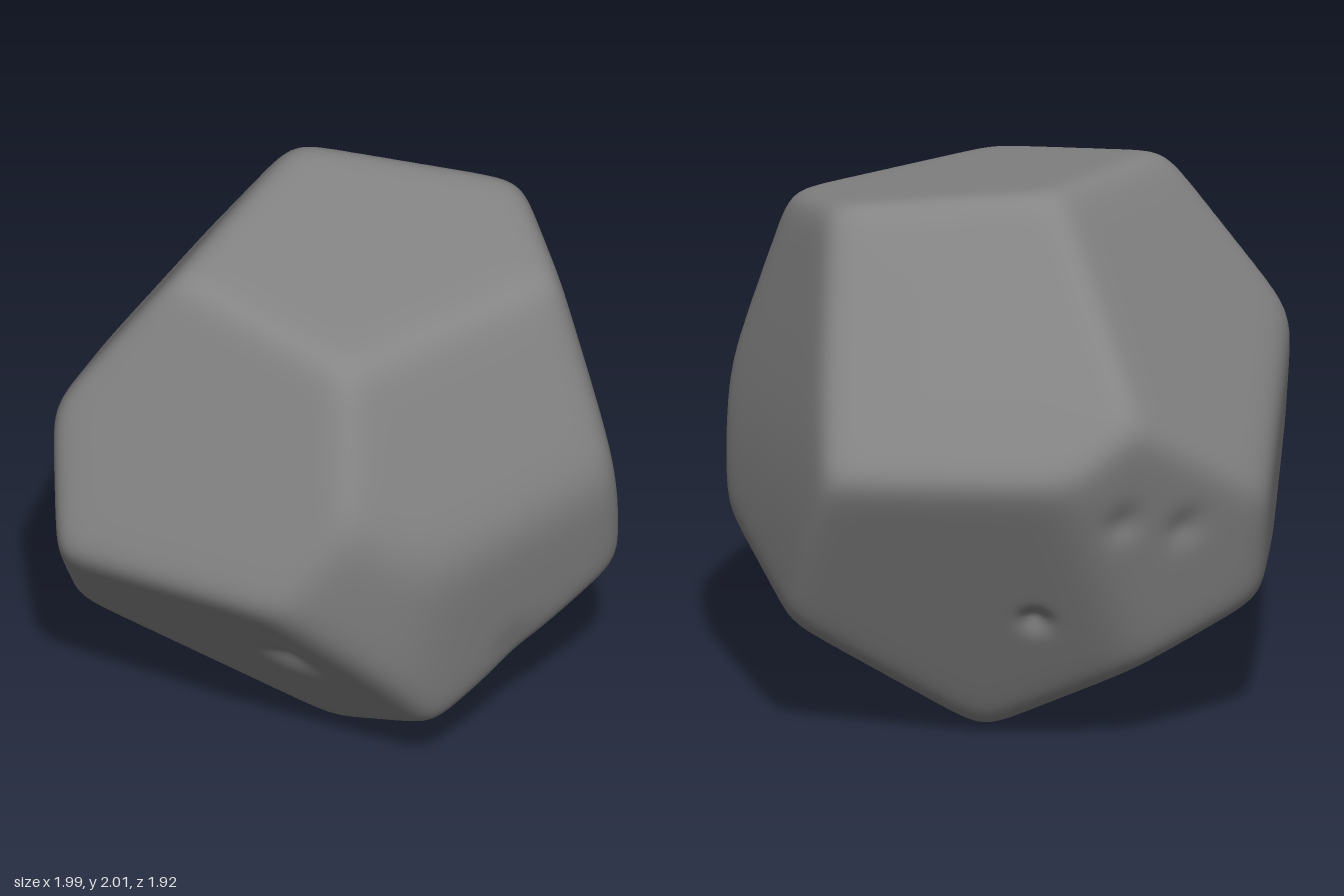
import * as THREE from 'three';
import { mergeVertices } from 'three/addons/utils/BufferGeometryUtils.js';

// Cut faces of the stone: outward direction and distance from the centre
const FACETS = [
  [0.04, 0.985, 0.17, 0.94],     // top
  [0.354, 0.531, -0.77, 0.875],  // upper back, +x side
  [-0.633, 0.553, -0.542, 0.78], // upper back, -x side
  [-0.66, 0.36, 0.66, 0.835],    // upper front, -x side
  [0.36, 0.36, 0.86, 0.92],      // upper front, +x side
  [-0.05, -0.13, 0.99, 0.94],    // middle front
  [0.44, -0.18, 0.88, 0.935],    // middle front, +x side
  [0.975, 0.22, -0.02, 0.96],    // +x side, upper
  [0.995, 0, -0.04, 0.985],      // +x side, lower
  [-0.52, -0.60, 0.60, 0.795],   // lower front
  [0.52, -0.83, 0.20, 0.92],     // underside, +x side
  [0.346, -0.459, -0.819, 0.81], // lower back, +x side
  [-0.25, -0.25, -0.935, 0.865], // lower back, -x side
  [-0.942, -0.081, -0.324, 0.88],// -x side
  [-0.40, -0.88, -0.22, 0.86],   // underside, -x side
].map(([x, y, z, d]) => ({ n: new THREE.Vector3(x, y, z).normalize(), d }));

// Small chips: direction, depth and width
const CHIPS = [
  [-0.25, -0.50, 0.66, 0.03, 0.11],
  [0.17, -0.52, -0.68, 0.035, 0.06],
  [-0.10, -0.08, -0.90, 0.02, 0.08],
  [-0.35, -0.14, -0.80, 0.02, 0.08],
  [0.55, -0.50, 0.65, 0.015, 0.10],
].map(([x, y, z, depth, width]) => ({ n: new THREE.Vector3(x, y, z).normalize(), depth, width }));

const SHARPNESS = 26; // higher gives tighter rounded edges

// Distance from the centre to the softly rounded polyhedron along a direction
function stoneRadius(dir) {
  let sum = 0;
  for (const { n, d } of FACETS) sum += Math.max(0, n.dot(dir) / d) ** SHARPNESS;
  let r = sum ** (-1 / SHARPNESS);
  for (const { n, depth, width } of CHIPS) {
    r -= depth * Math.exp(-n.distanceToSquared(dir) / (width * width));
  }
  return r;
}

export function createModel() {
  const group = new THREE.Group();

  // Sphere pushed onto the rounded facets
  let geo = new THREE.IcosahedronGeometry(1, 44);
  geo.deleteAttribute('normal');
  geo.deleteAttribute('uv');
  geo = mergeVertices(geo, 1e-4);
  const pos = geo.attributes.position;
  const v = new THREE.Vector3();
  for (let i = 0; i < pos.count; i++) {
    v.fromBufferAttribute(pos, i).normalize();
    v.multiplyScalar(stoneRadius(v));
    pos.setXYZ(i, v.x, v.y, v.z);
  }

  // Centre it and stand it on the floor
  geo.center();
  geo.translate(0, -geo.boundingBox.min.y, 0);
  geo.computeVertexNormals();

  const stone = new THREE.Mesh(geo, new THREE.MeshStandardMaterial({ color: 0x858585 }));
  stone.name = 'stone';
  group.add(stone);
  return group;
}
